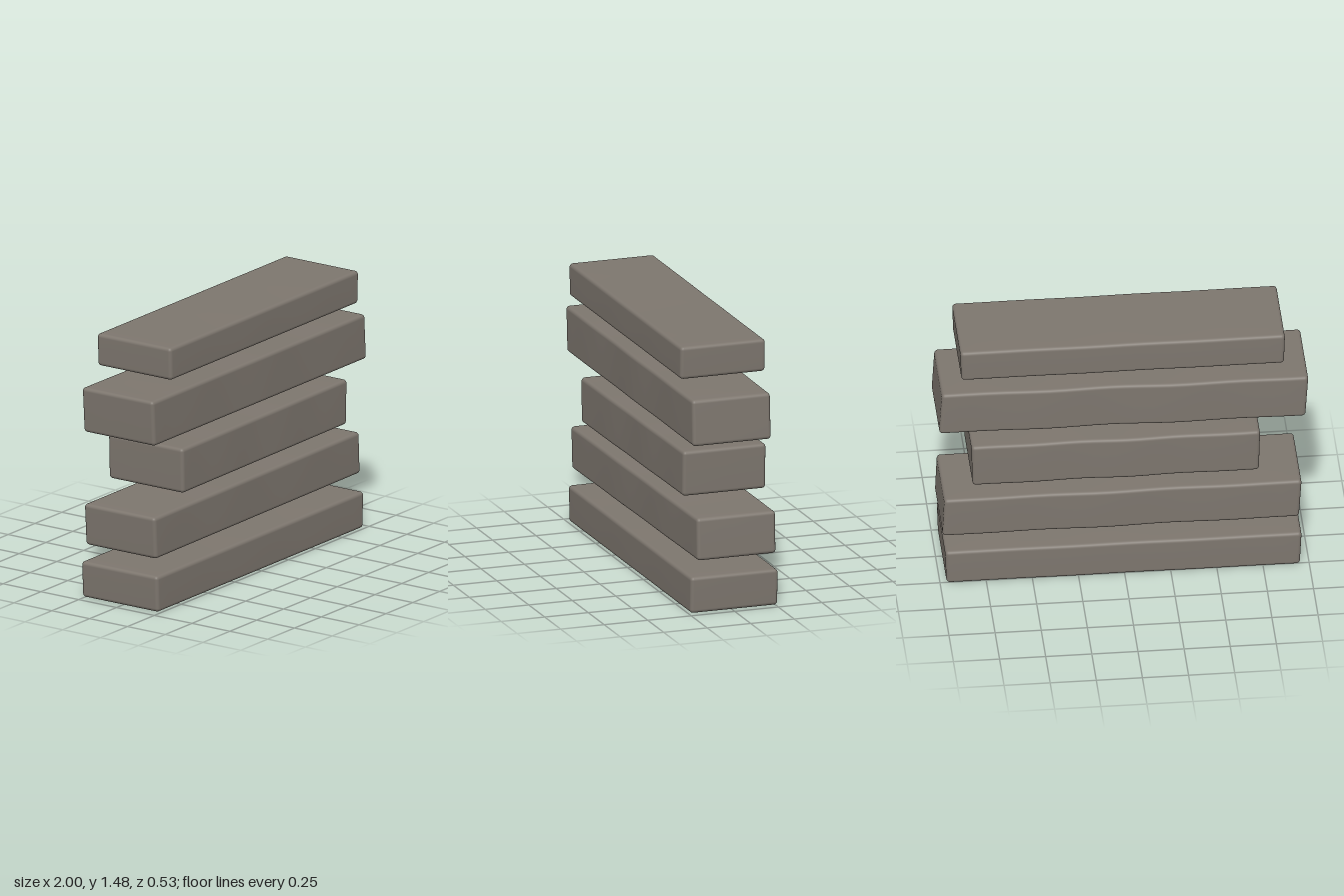
import * as THREE from 'three';
import { mergeVertices } from 'three/addons/utils/BufferGeometryUtils.js';

const { lerp, clamp } = THREE.MathUtils;
const RADIUS = 0.02;
const EDGE = 3; // segments spent on each rounded edge

// y: [bottom, top]; left/right ends (-x / +x): [bottom, top]; front/back faces: z at [-x end, +x end]
const PLANKS = [
  { name: 'bottomPlank', y: [0, 0.203], minX: [-0.95, -0.96], maxX: [0.965, 0.972], front: [0.24, 0.24], back: [-0.265, -0.262], wave: 0.001 },
  { name: 'secondPlank', y: [0.297, 0.532], minX: [-0.947, -0.962], maxX: [0.985, 0.975], front: [0.225, 0.207], back: [-0.245, -0.245], wave: 0.003 },
  { name: 'shortPlank', y: [0.618, 0.87], minX: [-0.73, -0.737], maxX: [0.822, 0.828], front: [0.25, 0.232], back: [-0.245, -0.245], wave: 0.003 },
  { name: 'longPlank', y: [0.945, 1.2], minX: [-0.983, -1], maxX: [1, 0.985], front: [0.24, 0.238], back: [-0.232, -0.212], wave: 0.004 },
  { name: 'topPlank', y: [1.293, 1.475], minX: [-0.868, -0.874], maxX: [0.88, 0.886], front: [0.268, 0.267], back: [-0.222, -0.22], wave: 0.001 },
];

// Even grid position (0..1) -> position with the outer segments packed into the rounded edge
function packEdges(t, segments, size) {
  const i = Math.round(t * segments);
  if (i <= EDGE) return (i / EDGE) * RADIUS;
  if (i >= segments - EDGE) return size - ((segments - i) / EDGE) * RADIUS;
  return lerp(RADIUS, size - RADIUS, (i - EDGE) / (segments - 2 * EDGE));
}

function plankGeometry({ y, minX, maxX, front, back, wave }, phase) {
  const size = [maxX[1] - minX[1], y[1] - y[0], front[0] - back[0]];
  const segs = [24 + 2 * EDGE, 2 + 2 * EDGE, 2 + 2 * EDGE];
  let geo = new THREE.BoxGeometry(1, 1, 1, ...segs);
  geo.deleteAttribute('normal');
  geo.deleteAttribute('uv');
  geo = mergeVertices(geo, 1e-4);

  const pos = geo.attributes.position;
  const p = new THREE.Vector3();
  const core = new THREE.Vector3();
  for (let i = 0; i < pos.count; i++) {
    // rounded box
    p.fromBufferAttribute(pos, i);
    const q = [p.x, p.y, p.z].map((c, k) => packEdges(c + 0.5, segs[k], size[k]));
    p.set(...q);
    core.set(...q.map((c, k) => clamp(c, RADIUS, size[k] - RADIUS)));
    p.sub(core).setLength(RADIUS).add(core);

    // skewed ends, slightly yawed sides and a hand-hewn waviness
    const u = p.x / size[0], v = p.y / size[1], w = p.z / size[2];
    const x = lerp(lerp(minX[0], minX[1], v), lerp(maxX[0], maxX[1], v), u);
    const ripple = wave * Math.sin(u * 17 + phase) * Math.sin(u * Math.PI);
    const z = lerp(lerp(back[0], back[1], u), lerp(front[0], front[1], u), w) + ripple;
    pos.setXYZ(i, x, lerp(y[0], y[1], v) + ripple * 0.5, z);
  }
  geo.computeVertexNormals();
  return geo;
}

export function createModel() {
  const model = new THREE.Group();
  model.name = 'stackedPlanks';
  const material = new THREE.MeshStandardMaterial({ color: 0x7d766e });
  PLANKS.forEach((plank, i) => {
    const mesh = new THREE.Mesh(plankGeometry(plank, i * 1.7), material);
    mesh.name = plank.name;
    model.add(mesh);
  });
  return model;
}
